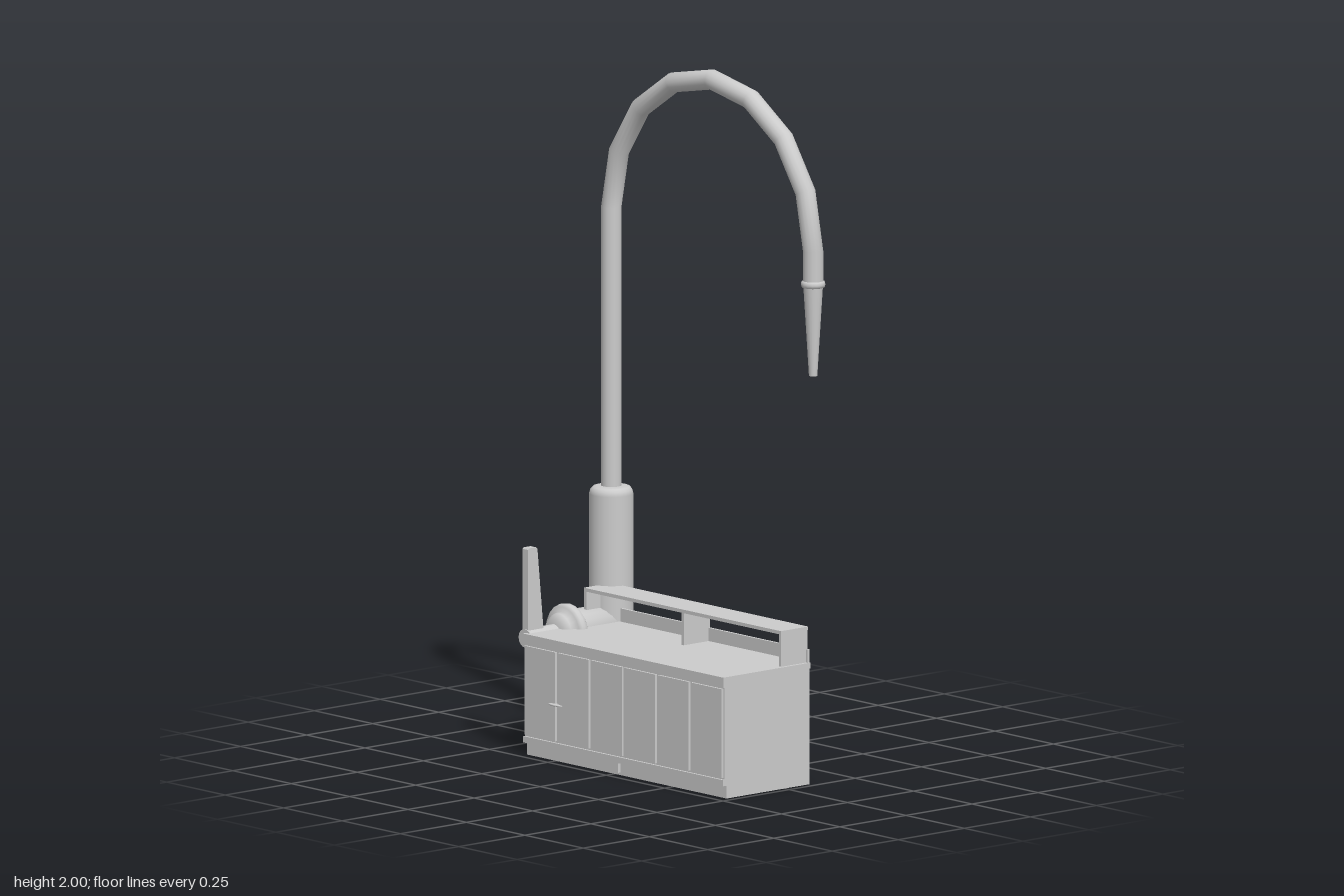
import * as THREE from 'three';

const V2 = (p) => p.map(([x, y]) => new THREE.Vector2(x, y));

export function createModel() {
  const root = new THREE.Group();
  const smooth = new THREE.MeshStandardMaterial({ color: 0xcccccc, side: THREE.DoubleSide });
  const flat = new THREE.MeshStandardMaterial({ color: 0xcccccc, flatShading: true, side: THREE.DoubleSide });

  const add = (name, geometry, material = flat, x = 0, y = 0, z = 0) => {
    const mesh = new THREE.Mesh(geometry, material);
    mesh.name = name;
    mesh.position.set(x, y, z);
    root.add(mesh);
    return mesh;
  };
  // Box given by its extents on each axis
  const box = (name, x0, x1, y0, y1, z0, z1) =>
    add(name, new THREE.BoxGeometry(x1 - x0, y1 - y0, z1 - z0), flat,
      (x0 + x1) / 2, (y0 + y1) / 2, (z0 + z1) / 2);

  const px = -0.38, pz = -0.105; // column axis
  const arc = 0.432, tube = 0.029, springY = 1.54, endX = px + 2 * arc;

  // Column with rounded shoulder, open underneath
  add('column', new THREE.LatheGeometry(V2([
    [0.063, 0], [0.063, 0.712], [0.06, 0.724], [0.053, 0.732], [0.042, 0.735], [0, 0.735],
  ]), 24), smooth, px, 0, pz);

  // Twelve-sided foot ring
  add('baseFlange', new THREE.LatheGeometry(V2([
    [0.05, 0.002], [0.14, 0.002], [0.14, 0.01], [0.066, 0.022], [0.05, 0.022], [0.05, 0.002],
  ]), 12), flat, px, 0, pz);

  // Gooseneck spout: riser, segmented half circle, short drop
  add('riserPipe', new THREE.CylinderGeometry(tube, tube, springY - 0.72, 16, 1, true),
    smooth, px, (springY + 0.72) / 2, pz);
  add('spoutArc', new THREE.TorusGeometry(arc, tube, 16, 8, Math.PI), smooth, px + arc, springY, pz);
  add('spoutDrop', new THREE.CylinderGeometry(tube, tube, springY - 1.44, 16, 1, true),
    smooth, endX, (springY + 1.44) / 2, pz);
  add('spoutCollar', new THREE.LatheGeometry(V2([
    [0.026, 1.435], [0.033, 1.437], [0.035, 1.445], [0.033, 1.453], [0.026, 1.456],
  ]), 16), smooth, endX, 0, pz);
  add('nozzle', new THREE.CylinderGeometry(0.028, 0.012, 0.26, 16), smooth, endX, 1.31, pz);

  // Cabinet body, plinth and worktop
  const left = -0.375, right = 0.48, back = -0.095;
  box('cabinetBody', left, right, 0.045, 0.335, back, 0.226);
  box('plinth', left, right, 0, 0.045, back, 0.219);
  box('worktop', left, right + 0.004, 0.335, 0.352, back, 0.235);
  box('lowerRail', left, right, 0.037, 0.055, 0.215, 0.233);
  box('upperRail', left, right, 0.321, 0.335, 0.22, 0.231);
  box('plinthCatch', 0.013, 0.027, 0.008, 0.04, 0.21, 0.23);

  // Row of six doors
  const pitch = (right - left) / 6;
  for (let i = 0; i < 6; i++) {
    const x = left + i * pitch;
    box('door', x + 0.005, x + pitch - 0.005, 0.06, 0.317, 0.22, 0.233);
  }
  const pull = add('doorPull', new THREE.SphereGeometry(1, 12, 6), smooth, -0.237, 0.165, 0.231);
  pull.scale.set(0.033, 0.004, 0.011);

  // Low upstand and open shelf on the worktop
  box('backUpstand', left, right, 0.335, 0.39, back, back + 0.008);
  box('shelfTop', -0.37, 0.474, 0.445, 0.455, back, 0.008);
  for (const x of [-0.365, 0.052, 0.469]) {
    box('shelfSupport', x - 0.005, x + 0.005, 0.352, 0.446, back + 0.002, 0.007);
  }

  // Faceted bracket on the back
  const half = new THREE.Shape(V2([
    [-0.088, 0.09], [-0.083, 0.13], [-0.065, 0.173], [0, 0.195],
    [0.065, 0.173], [0.083, 0.13], [0.088, 0.09],
  ]));
  const bracket = add('backBracket',
    new THREE.ExtrudeGeometry(half, { depth: 0.035, bevelEnabled: false }), flat, 0.052, 0.25, 0);
  bracket.rotation.x = -Math.PI / 2;

  // Valve arm running forward from the column
  const vy = 0.335;
  const valve = add('valveBody', new THREE.LatheGeometry(V2([
    [0, -0.1], [0.06, -0.1], [0.06, 0.045], [0.072, 0.046], [0.079, 0.053], [0.08, 0.062],
    [0.079, 0.071], [0.072, 0.079], [0.058, 0.081], [0.055, 0.093], [0.041, 0.112], [0, 0.112],
  ]), 20), smooth, px, vy, 0);
  valve.rotation.x = Math.PI / 2;
  const stem = add('valveStem', new THREE.CylinderGeometry(0.027, 0.027, 0.12, 16), smooth, px, vy, 0.162);
  stem.rotation.x = Math.PI / 2;

  // Tapered lever, profile drawn in z and y
  const leverShape = new THREE.Shape(V2([
    [-0.22, 0.335], [-0.16, 0.335], [-0.185, 0.592], [-0.19, 0.596], [-0.216, 0.596], [-0.22, 0.592],
  ]));
  const lever = add('lever',
    new THREE.ExtrudeGeometry(leverShape, { depth: 0.024, bevelEnabled: false }), flat, px - 0.012, 0, 0);
  lever.rotation.y = Math.PI / 2;

  return root;
}
